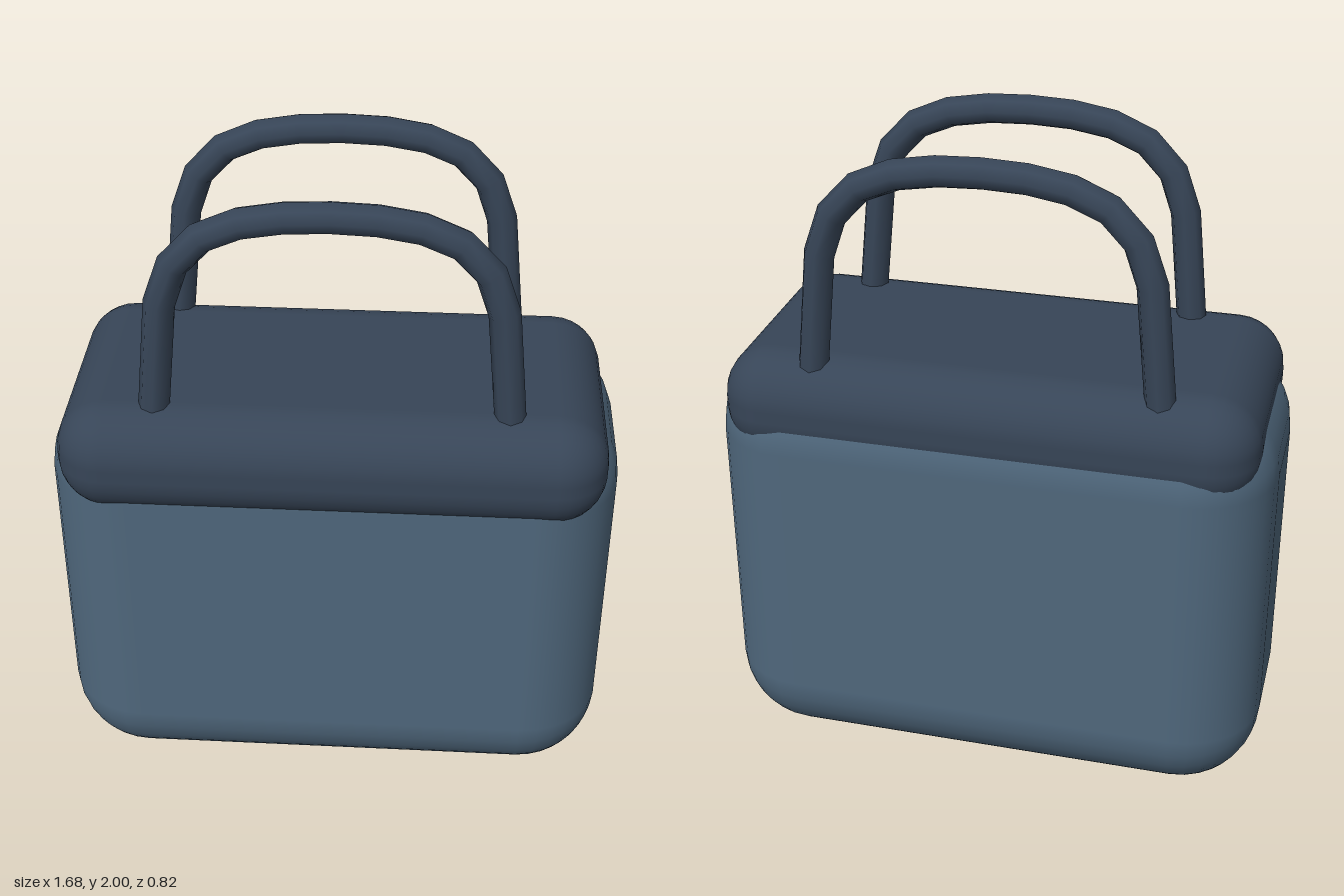
import * as THREE from 'three';
import { RoundedBoxGeometry } from 'three/addons/geometries/RoundedBoxGeometry.js';

export function createModel() {
  const model = new THREE.Group();
  model.name = 'handbag';

  const bodyBlue = new THREE.MeshStandardMaterial({ name: 'slate blue', color: 0x4f677c });
  const trimNavy = new THREE.MeshStandardMaterial({ name: 'dark navy', color: 0x374557 });

  const add = (name, geometry, material, x, y, z) => {
    const mesh = new THREE.Mesh(geometry, material);
    mesh.name = name;
    mesh.position.set(x, y, z);
    model.add(mesh);
    return mesh;
  };

  // Soft main compartment
  add('body', new RoundedBoxGeometry(1.68, 1.32, 0.79, 4, 0.25), bodyBlue, 0, 0.66, -0.015);

  // Flap lid, set slightly forward over the body
  add('lid', new RoundedBoxGeometry(1.59, 0.335, 0.81, 4, 0.15), trimNavy, 0, 1.1875, 0.005);

  // Arched handle, half a centreline mirrored across x = 0
  const half = [[0.515, 1.25], [0.5, 1.4], [0.472, 1.68], [0.43, 1.8], [0.35, 1.885], [0.245, 1.93], [0.125, 1.95]];
  const points = [
    ...half.map(([x, y]) => new THREE.Vector3(-x, y, 0)),
    new THREE.Vector3(0, 1.955, 0),
    ...half.slice().reverse().map(([x, y]) => new THREE.Vector3(x, y, 0)),
  ];
  const path = new THREE.CatmullRomCurve3(points);
  // Sample exactly at the control points to keep the bends
  path.getPointAt = (t, target) => path.getPoint(t, target);
  path.getTangentAt = (t, target) => path.getTangent(t, target);
  const handle = new THREE.TubeGeometry(path, points.length - 1, 0.045, 8, false);
  add('frontHandle', handle, trimNavy, 0, 0, 0.263);
  add('backHandle', handle, trimNavy, 0, 0, -0.298);

  return model;
}
